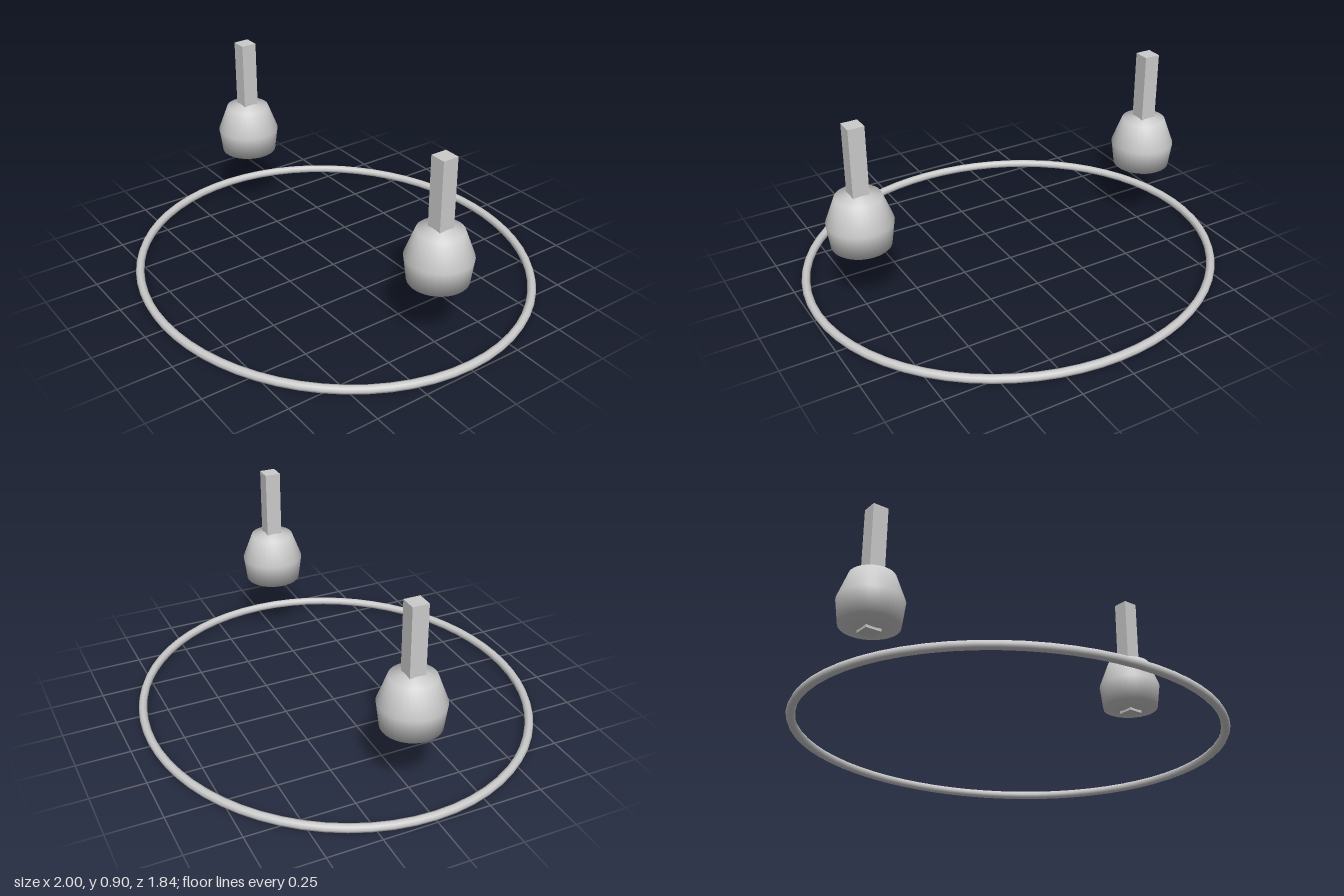
import * as THREE from 'three';

const grey = new THREE.MeshStandardMaterial({ color: 0xcccccc });

function add(parent, name, geometry, x = 0, y = 0, z = 0) {
  const mesh = new THREE.Mesh(geometry, grey);
  mesh.name = name;
  mesh.position.set(x, y, z);
  parent.add(mesh);
}

// Slightly oval closed loop lying flat on the ground
class OvalCurve extends THREE.Curve {
  getPoint(t, target = new THREE.Vector3()) {
    const a = t * Math.PI * 2;
    return target.set(0.98 * Math.cos(a), 0, 0.9 * Math.sin(a));
  }
}

export function createModel() {
  const model = new THREE.Group();
  model.name = 'ringWithPendants';

  add(model, 'ovalRing', new THREE.TubeGeometry(new OvalCurve(), 64, 0.02, 8, true), 0, 0.02, 0);

  // Bulb profile from the shallow bottom cone up to the top
  const profile = [
    [0, 0.302], [0.134, 0.325], [0.149, 0.44], [0.103, 0.562], [0, 0.587],
  ].map(([r, y]) => new THREE.Vector2(r, y));
  const bulb = new THREE.LatheGeometry(profile, 32);
  const stem = new THREE.BoxGeometry(0.075, 0.6, 0.075);

  // A bulb with a square stem running through it, on each side
  for (const [side, s] of [['left', 1], ['right', -1]]) {
    const pendant = new THREE.Group();
    pendant.name = side + 'Pendant';
    pendant.position.x = 0.75 * s;
    add(pendant, side + 'Bulb', bulb);
    add(pendant, side + 'Stem', stem, 0, 0.597, 0);
    model.add(pendant);
  }
  return model;
}
